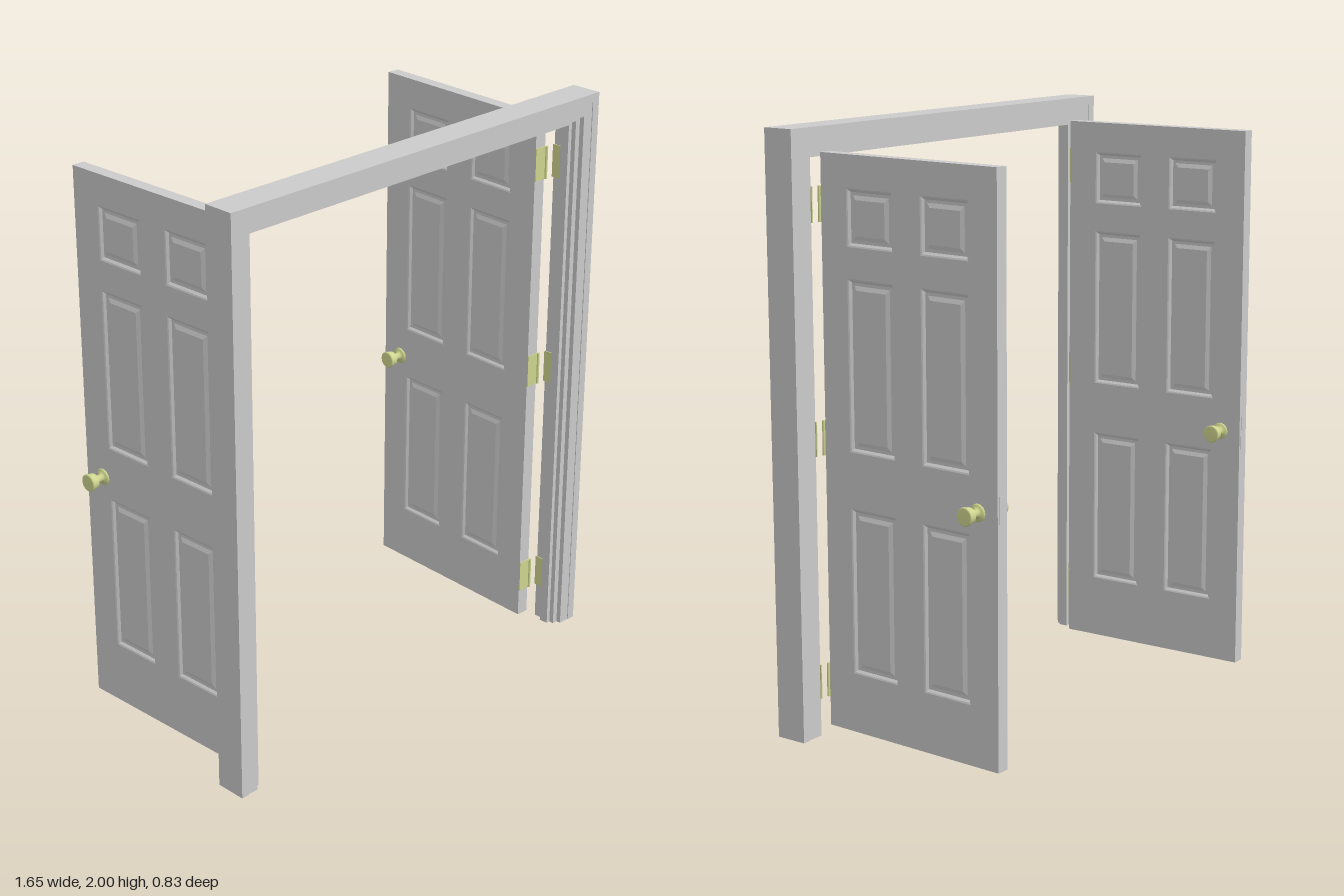
import * as THREE from 'three';

const paint = new THREE.MeshStandardMaterial({ color: 0xcbcbcb });
paint.name = 'grey paint';
const brass = new THREE.MeshStandardMaterial({ color: 0xcfd68f });
brass.name = 'pale brass';

const LENGTH = 0.715, THICK = 0.045, TOP = 1.92;
const PANEL_COLUMNS = [[0.107, 0.3], [0.412, 0.605]];
const PANEL_ROWS = [[0.23, 0.785], [0.97, 1.53], [1.63, 1.815]];
const HINGE_HEIGHTS = [0.187, 1.002, 1.757];

function add(parent, name, geometry, material, x = 0, y = 0, z = 0) {
  const mesh = new THREE.Mesh(geometry, material);
  mesh.name = name;
  mesh.position.set(x, y, z);
  parent.add(mesh);
  return mesh;
}

// U-shaped surround layer, open at the floor
function portal(outerX, outerY, innerX, innerY, z0, z1) {
  const shape = new THREE.Shape([
    [-outerX, 0], [-innerX, 0], [-innerX, innerY], [innerX, innerY],
    [innerX, 0], [outerX, 0], [outerX, outerY], [-outerX, outerY],
  ].map(([x, y]) => new THREE.Vector2(x, y)));
  const geometry = new THREE.ExtrudeGeometry(shape, { depth: z1 - z0, bevelEnabled: false });
  return geometry.translate(0, 0, z0);
}

// Raised panel facing +z: rectangular loops stepping inward, closed by a flat field
function panelGeometry(w, h) {
  const profile = [[0, 0], [0.005, -0.002], [0.012, -0.009], [0.022, -0.009], [0.036, -0.003]];
  const loops = profile.map(([inset, depth]) => {
    const a = w / 2 - inset, b = h / 2 - inset;
    return [[-a, -b, depth], [a, -b, depth], [a, b, depth], [-a, b, depth]];
  });
  const points = [];
  const quad = (a, b, c, d) => points.push(...a, ...b, ...c, ...a, ...c, ...d);
  for (let i = 0; i < loops.length - 1; i++) {
    for (let k = 0; k < 4; k++) {
      const n = (k + 1) % 4;
      quad(loops[i][k], loops[i][n], loops[i + 1][n], loops[i + 1][k]);
    }
  }
  quad(...loops[loops.length - 1]);
  const geometry = new THREE.BufferGeometry();
  geometry.setAttribute('position', new THREE.Float32BufferAttribute(points, 3));
  geometry.computeVertexNormals();
  return geometry;
}

// Rosette, neck and flared knob, turned around y
function knobGeometry() {
  const profile = [
    [0.029, 0], [0.029, 0.004], [0.024, 0.008], [0.013, 0.011], [0.012, 0.032],
    [0.021, 0.035], [0.026, 0.04], [0.028, 0.055], [0.03, 0.06], [0.03, 0.066], [0.026, 0.069], [0, 0.069],
  ].map(([r, y]) => new THREE.Vector2(r, y));
  return new THREE.LatheGeometry(profile, 24);
}

// Door running along local +x from its hinge edge; outer is the hinge-barrel side
function createDoor(name, bottom, outer) {
  const door = new THREE.Group();
  door.name = name;

  const outline = new THREE.Shape();
  outline.moveTo(0, bottom).lineTo(LENGTH, bottom).lineTo(LENGTH, TOP).lineTo(0, TOP).closePath();
  for (const [x0, x1] of PANEL_COLUMNS) {
    for (const [y0, y1] of PANEL_ROWS) {
      const hole = new THREE.Path();
      hole.moveTo(x0, y0).lineTo(x0, y1).lineTo(x1, y1).lineTo(x1, y0).closePath();
      outline.holes.push(hole);
      for (const side of [1, -1]) {
        const panel = add(door, 'raisedPanel', panelGeometry(x1 - x0, y1 - y0), paint,
          (x0 + x1) / 2, (y0 + y1) / 2, side * THICK / 2);
        if (side < 0) panel.rotation.y = Math.PI;
      }
    }
  }
  const slab = new THREE.ExtrudeGeometry(outline, { depth: THICK, bevelEnabled: false });
  add(door, 'doorSlab', slab, paint, 0, 0, -THICK / 2);

  // Knobs on both faces and the latch plate on the free edge
  for (const side of [1, -1]) {
    const knob = add(door, 'knob', knobGeometry(), brass, 0.637, 0.857, side * THICK / 2);
    knob.rotation.x = side * Math.PI / 2;
  }
  add(door, 'latchPlate', new THREE.BoxGeometry(0.003, 0.12, 0.026), paint, LENGTH, 0.857, 0);

  // Hinge leaves and barrels
  for (const y of HINGE_HEIGHTS) {
    add(door, 'hingeLeaf', new THREE.BoxGeometry(0.004, 0.115, THICK), brass, -0.001, y, 0);
    add(door, 'hingeBarrel', new THREE.CylinderGeometry(0.005, 0.005, 0.115, 12), brass,
      -0.004, y, outer * (THICK / 2 + 0.004));
  }
  return door;
}

export function createModel() {
  const model = new THREE.Group();
  model.name = 'doubleDoor';

  // Surround built from stepped layers
  const frame = new THREE.Group();
  frame.name = 'doorFrame';
  model.add(frame);
  add(frame, 'outerCasing', portal(0.825, 2, 0.795, 1.97, 0.305, 0.415), paint);
  add(frame, 'innerCasing', portal(0.795, 1.97, 0.755, 1.93, 0.308, 0.412), paint);
  add(frame, 'jamb', portal(0.755, 1.93, 0.735, 1.915, 0.308, 0.395), paint);
  add(frame, 'doorStop', portal(0.735, 1.915, 0.72, 1.9, 0.345, 0.378), paint);

  // Hinge leaves on the jambs
  for (const side of [1, -1]) {
    for (const y of HINGE_HEIGHTS) {
      add(frame, 'jambHingeLeaf', new THREE.BoxGeometry(0.004, 0.115, 0.042), brass, side * 0.734, y, 0.324);
    }
  }

  // Both doors swung open to the back
  const rightDoor = createDoor('rightDoor', 0.01, -1);
  rightDoor.position.set(-0.691, 0, 0.297);
  rightDoor.rotation.y = Math.PI / 2 + 0.032;
  const leftDoor = createDoor('leftDoor', 0.03, 1);
  leftDoor.position.set(0.675, 0, 0.297);
  leftDoor.rotation.y = Math.PI / 2 - 0.044;
  model.add(rightDoor, leftDoor);

  return model;
}
